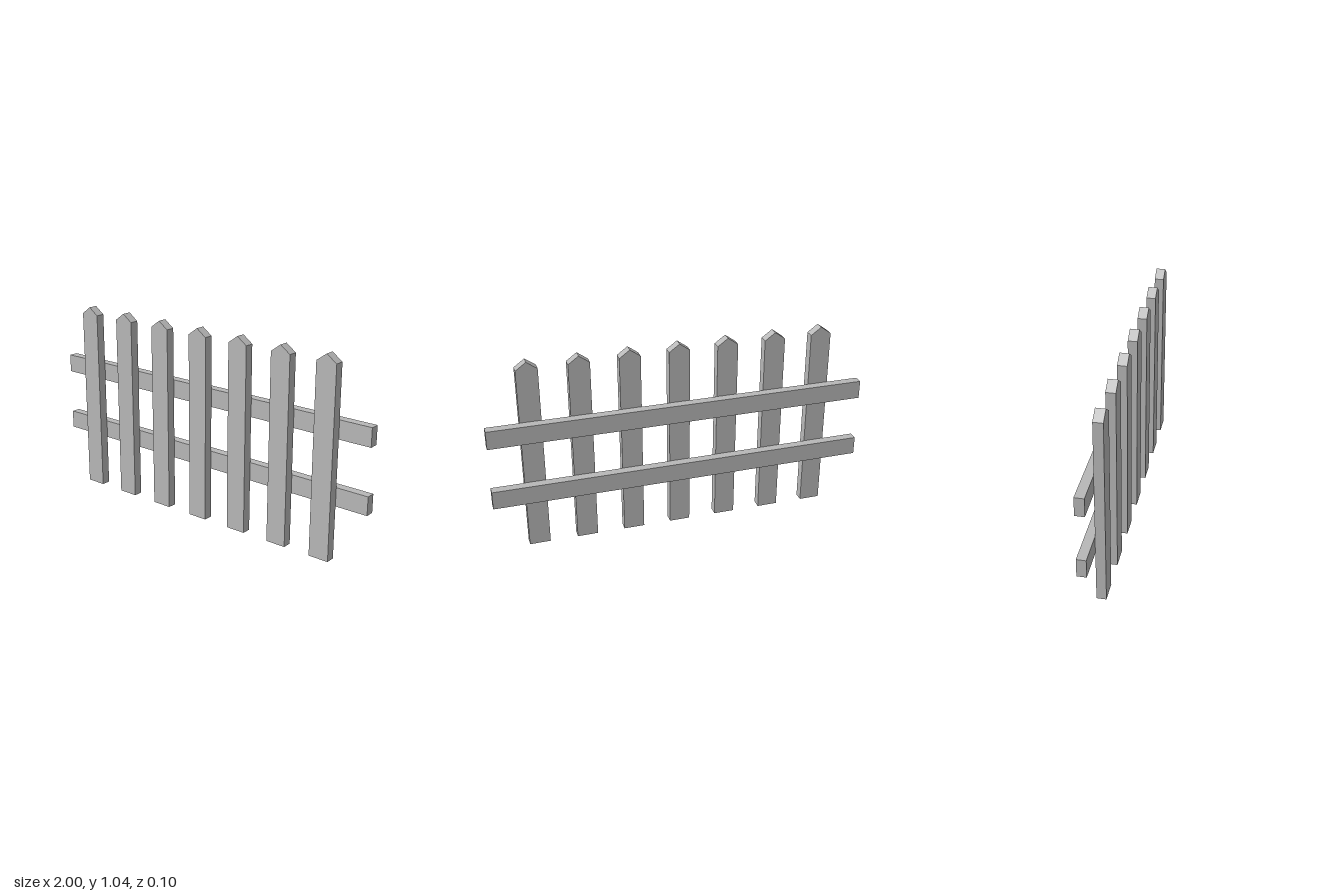
import * as THREE from 'three';

const PICKETS = 7, SPACING = 0.257, HALF_WIDTH = 0.055;

export function createModel() {
  const fence = new THREE.Group();
  fence.name = 'picketFence';
  const paint = new THREE.MeshStandardMaterial({ color: 0xb8b8b8 });
  paint.name = 'greyPaint';

  // Pointed pickets, standing in front of the rails
  const outline = new THREE.Shape([
    new THREE.Vector2(-HALF_WIDTH, 0),
    new THREE.Vector2(HALF_WIDTH, 0),
    new THREE.Vector2(HALF_WIDTH, 1),
    new THREE.Vector2(0, 1.04),
    new THREE.Vector2(-HALF_WIDTH, 1),
  ]);
  const picketGeometry = new THREE.ExtrudeGeometry(outline, { depth: 0.049, bevelEnabled: false });
  for (let i = 0; i < PICKETS; i++) {
    const picket = new THREE.Mesh(picketGeometry, paint);
    picket.name = `picket${i + 1}`;
    picket.position.x = (i - (PICKETS - 1) / 2) * SPACING;
    fence.add(picket);
  }

  // Two horizontal rails behind the pickets
  const railGeometry = new THREE.BoxGeometry(2, 0.098, 0.048);
  for (const [name, y] of [['lowerRail', 0.328], ['upperRail', 0.671]]) {
    const rail = new THREE.Mesh(railGeometry, paint);
    rail.name = name;
    rail.position.set(0, y, -0.024);
    fence.add(rail);
  }
  return fence;
}
